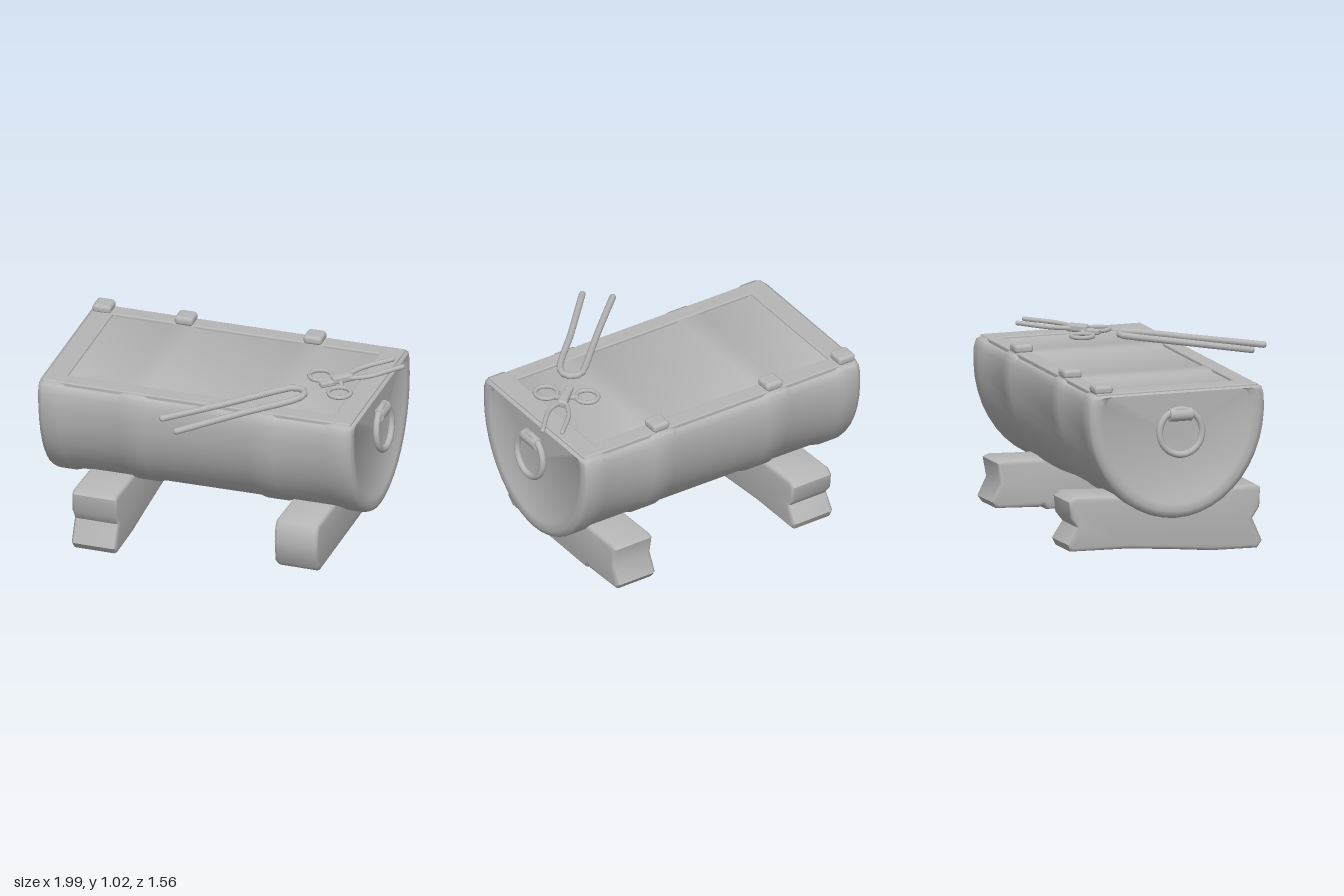
import * as THREE from 'three';
import { toCreasedNormals } from 'three/addons/utils/BufferGeometryUtils.js';
import { RoundedBoxGeometry } from 'three/addons/geometries/RoundedBoxGeometry.js';

const grey = new THREE.MeshStandardMaterial({ color: 0xb6b6b6 });
grey.name = 'grey metal';

function add(parent, name, geometry, x = 0, y = 0, z = 0) {
  const mesh = new THREE.Mesh(geometry, grey);
  mesh.name = name;
  mesh.position.set(x, y, z);
  parent.add(mesh);
  return mesh;
}

// Extrudes a (z, y) outline along x, centred, with rounded ends
function slab(shape, length, bevel) {
  const g = new THREE.ExtrudeGeometry(shape, {
    depth: length - 2 * bevel, bevelEnabled: true, bevelThickness: bevel,
    bevelSize: bevel, bevelOffset: -bevel, bevelSegments: 3,
  });
  g.translate(0, 0, -(length - 2 * bevel) / 2);
  g.rotateY(-Math.PI / 2);
  return toCreasedNormals(g, 0.9);
}

// Half-drum cross-section, swollen by o: back shoulder, belly, front shoulder
function drumSection(o) {
  const a = 0.502 + o, b = 0.583 + o;
  const top = 0.946 + THREE.MathUtils.clamp(o, -0.012, 0);
  const pts = [[-a + 0.045, top], [-a + 0.016, top - 0.012]];
  for (let i = 0; i <= 24; i++) {
    const t = Math.PI - 0.1 + (i / 24) * (Math.PI + 0.2);
    pts.push([Math.cos(t) * a, 0.83 + Math.sin(t) * b]);
  }
  pts.push([a - 0.016, top - 0.012], [a - 0.045, top]);
  return pts;
}

// Shell lofted along x: [position, swell] for end rims and bands
function drumShell() {
  const half = [[0.88, -0.088], [0.888, -0.075], [0.893, -0.035], [0.882, -0.006], [0.86, 0.003],
    [0.77, 0.003], [0.73, -0.009]];
  const band = (x) => [[x - 0.085, -0.01], [x - 0.058, 0], [x + 0.058, 0], [x + 0.085, -0.01]];
  const sections = [...half.map(([x, o]) => [-x, o]), ...band(-0.355), ...band(0.375), ...half.reverse()];
  const positions = [], index = [];
  let n = 0;
  for (const [x, o] of sections) {
    const pts = drumSection(o);
    n = pts.length;
    for (const [z, y] of pts) positions.push(x, y, z);
  }
  const last = sections.length - 1;
  for (let i = 0; i < last; i++) {
    for (let j = 0; j < n; j++) {
      const a = i * n + j, b = i * n + (j + 1) % n;
      index.push(a, a + n, b, b, a + n, b + n);
    }
  }
  // Flat end faces
  const centre = positions.length / 3;
  positions.push(sections[0][0], 0.7, 0, sections[last][0], 0.7, 0);
  for (let j = 0; j < n; j++) {
    const k = (j + 1) % n;
    index.push(centre, j, k, centre + 1, last * n + k, last * n + j);
  }
  const g = new THREE.BufferGeometry();
  g.setAttribute('position', new THREE.Float32BufferAttribute(positions, 3));
  g.setIndex(index);
  return toCreasedNormals(g, 0.9);
}

// Round rod along a path with ball ends
function rod(parent, name, points, radius) {
  const v = points.map((p) => new THREE.Vector3(...p));
  const path = new THREE.CatmullRomCurve3(v, false, 'centripetal');
  add(parent, name, new THREE.TubeGeometry(path, 40, radius, 10));
  for (const p of [v[0], v[v.length - 1]]) {
    add(parent, name + 'End', new THREE.SphereGeometry(radius, 10, 8), p.x, p.y, p.z);
  }
}

function buildDrum() {
  const drum = new THREE.Group();
  drum.name = 'halfDrum';
  add(drum, 'drumShell', drumShell());

  for (const s of [-1, 1]) {
    // Raised frame around the lid
    add(drum, 'lidEndStrip', new RoundedBoxGeometry(0.12, 0.03, 0.92, 2, 0.008), s * 0.815, 0.938, 0);
    add(drum, 'lidSideStrip', new RoundedBoxGeometry(1.72, 0.03, 0.09, 2, 0.008), 0, 0.937, s * 0.417);

    // Ring handle hanging from a bracket
    const ring = add(drum, 'handleRing',
      new THREE.TorusGeometry(0.122, 0.018, 10, 32).rotateY(Math.PI / 2), s * 0.908, 0.722, 0.01);
    ring.rotation.z = s * 0.08;
    add(drum, 'handleBracket',
      new THREE.CylinderGeometry(0.036, 0.036, 0.125, 14).rotateX(Math.PI / 2), s * 0.895, 0.815, 0.01);
  }

  // Clasps along the back edge
  for (const x of [-0.82, -0.355, 0.375]) {
    add(drum, 'clasp', new RoundedBoxGeometry(0.105, 0.05, 0.105, 3, 0.02), x, 0.969, -0.415);
  }
  drum.position.x = 0.006;
  drum.rotation.z = 0.012;
  return drum;
}

// Rough-hewn beams that carry the drum, as (z, y) outlines
const beams = [
  { x: -0.55, width: 0.255, outline: [[-0.53, 0.05], [-0.2, 0.045], [0.05, 0.025], [0.28, 0.003], [0.54, 0],
    [0.57, 0.04], [0.515, 0.165], [0.555, 0.225], [0.56, 0.33], [0.53, 0.35], [0.2, 0.335],
    [-0.2, 0.335], [-0.5, 0.35], [-0.54, 0.32], [-0.53, 0.23], [-0.49, 0.18], [-0.55, 0.09]] },
  { x: 0.585, width: 0.245, outline: [[-0.52, 0.085], [-0.27, 0.075], [-0.25, 0.085], [-0.23, 0.06], [0.48, 0.06],
    [0.525, 0.1], [0.54, 0.22], [0.53, 0.31], [0.5, 0.345], [0, 0.33], [-0.48, 0.345],
    [-0.515, 0.33], [-0.495, 0.22], [-0.545, 0.12]] },
];

// Two-pronged tongs lying across the front edge
function buildTongs() {
  const g = new THREE.Group();
  g.name = 'tongs';
  rod(g, 'tongsRod', [[0.13, 0.968, 0.69], [0.3, 0.975, 0.37], [0.455, 0.983, 0.06], [0.485, 0.984, 0.012],
    [0.53, 0.985, -0.005], [0.575, 0.985, 0.015], [0.588, 0.984, 0.075], [0.44, 0.977, 0.4],
    [0.28, 0.968, 0.76]], 0.018);
  return g;
}

// Scissor tongs with two finger rings
function buildScissors() {
  const g = new THREE.Group();
  g.name = 'scissorTongs';
  for (const [x, z] of [[0.513, -0.203], [0.715, -0.108]]) {
    add(g, 'fingerRing', new THREE.TorusGeometry(0.06, 0.012, 8, 28).rotateX(Math.PI / 2), x, 0.978, z);
  }
  rod(g, 'ringArm', [[0.572, 0.98, -0.195], [0.635, 0.99, -0.2]], 0.013);
  rod(g, 'ringArm', [[0.685, 0.98, -0.16], [0.645, 0.99, -0.21]], 0.013);
  const pivot = add(g, 'pivotPlate', new RoundedBoxGeometry(0.055, 0.045, 0.12, 2, 0.015), 0.645, 0.998, -0.22);
  pivot.rotation.y = -0.5;
  const tail = add(g, 'pivotTail', new RoundedBoxGeometry(0.045, 0.03, 0.09, 2, 0.01), 0.605, 0.985, -0.145);
  tail.rotation.y = -0.5;
  rod(g, 'prong', [[0.645, 0.995, -0.23], [0.66, 1.0, -0.37], [0.742, 1.008, -0.54]], 0.013);
  rod(g, 'prong', [[0.66, 0.995, -0.23], [0.75, 1.003, -0.31], [0.84, 1.012, -0.5]], 0.013);
  return g;
}

export function createModel() {
  const model = new THREE.Group();
  model.name = 'barrelGrill';

  // Drum and beams sit turned on the ground
  const base = new THREE.Group();
  base.name = 'grillBase';
  base.position.set(-0.002, 0, -0.03);
  base.rotation.y = 0.325;
  base.add(buildDrum());
  for (const { x, width, outline } of beams) {
    const shape = new THREE.Shape(outline.map(([z, y]) => new THREE.Vector2(z, y)));
    add(base, 'supportBeam', slab(shape, width, 0.02), x);
  }
  model.add(base, buildTongs(), buildScissors());
  return model;
}
